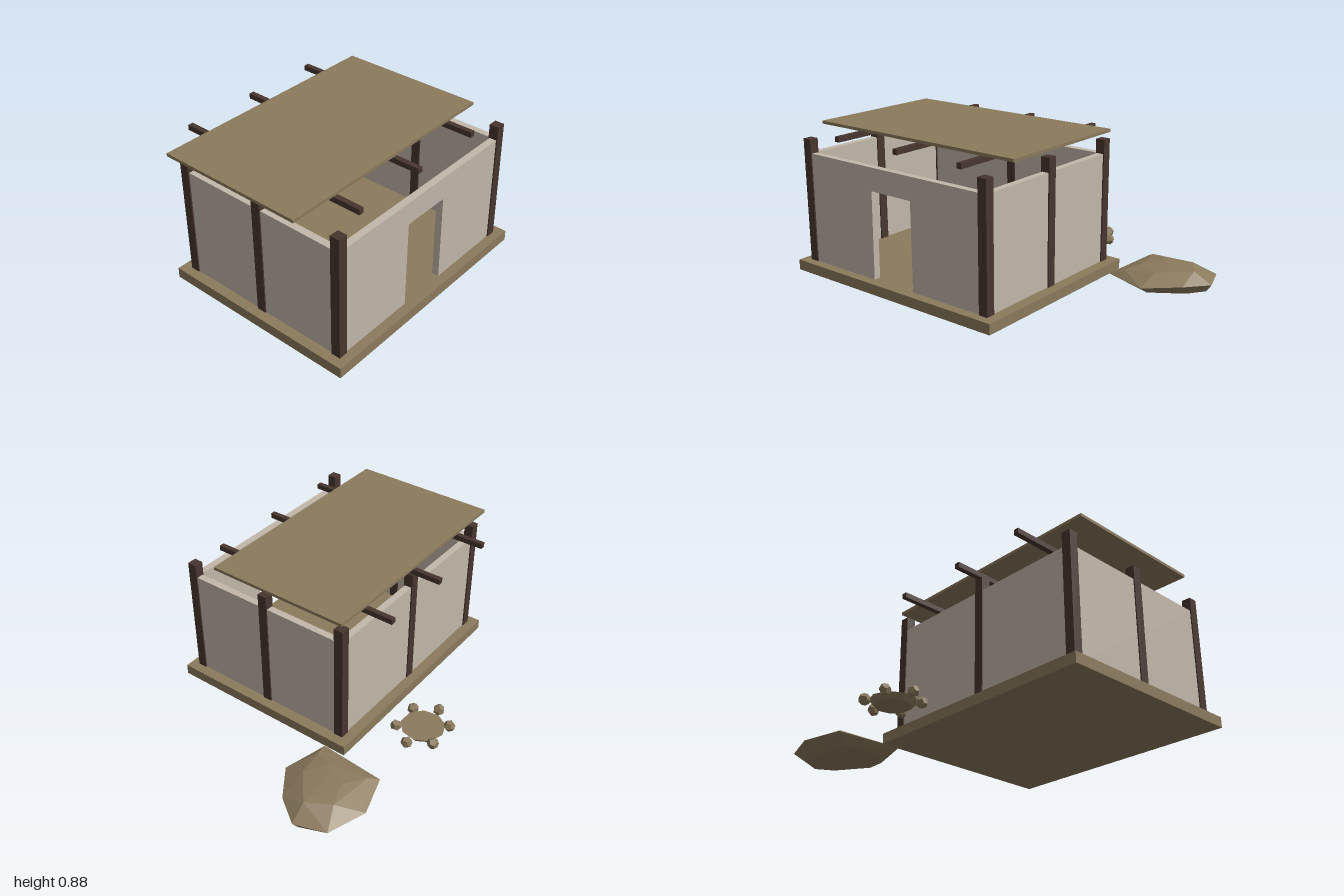
import * as THREE from 'three';
import { ConvexGeometry } from 'three/addons/geometries/ConvexGeometry.js';

const earth = new THREE.MeshStandardMaterial({ color: 0x8b7a5c });
earth.name = 'earth';
earth.flatShading = true;
const plaster = new THREE.MeshStandardMaterial({ color: 0xc2b8aa });
plaster.name = 'plaster';
const timber = new THREE.MeshStandardMaterial({ color: 0x48362f });
timber.name = 'timber';

export function createModel() {
  const model = new THREE.Group();
  model.name = 'hut';

  const add = (name, geometry, material, x = 0, y = 0, z = 0) => {
    const mesh = new THREE.Mesh(geometry, material);
    mesh.name = name;
    mesh.position.set(x, y, z);
    model.add(mesh);
    return mesh;
  };
  // Box given by its lower and upper limits
  const box = (name, material, x0, x1, y0, y1, z0, z1) =>
    add(name, new THREE.BoxGeometry(x1 - x0, y1 - y0, z1 - z0), material,
      (x0 + x1) / 2, (y0 + y1) / 2, (z0 + z1) / 2);

  // Raised floor and roof
  const floorY = 0.115, wallTop = 0.745;
  box('platform', earth, -0.975, 0.45, 0.055, floorY, -0.385, 0.77);
  box('roof', earth, -1, 0.4, 0.863, 0.88, -0.33, 0.52);

  // Posts: four corners, the middles of both sides and the back
  const posts = [
    [-0.897, 0.695], [0.368, 0.695], [-0.897, 0.195], [0.368, 0.195],
    [-0.897, -0.305], [0.368, -0.305], [-0.265, -0.305],
  ];
  for (const [x, z] of posts) {
    box('post', timber, x - 0.027, x + 0.027, floorY, 0.825, z - 0.027, z + 0.027);
  }

  // Roof beams
  for (const x of [-0.708, -0.265, 0.178]) {
    box('beam', timber, x - 0.015, x + 0.015, 0.825, 0.855, -0.49, 0.67);
  }

  // Front wall with a door opening
  const front = new THREE.Shape([
    [-0.87, floorY], [-0.41, floorY], [-0.403, 0.615], [-0.12, 0.615],
    [-0.12, floorY], [0.341, floorY], [0.341, wallTop], [-0.87, wallTop],
  ].map(([x, y]) => new THREE.Vector2(x, y)));
  add('frontWall', new THREE.ExtrudeGeometry(front, { depth: 0.04, bevelEnabled: false }),
    plaster, 0, 0, 0.675);

  // Closed walls
  box('backWall', plaster, -0.87, 0.341, floorY, wallTop, -0.325, -0.285);
  for (const x of [-0.897, 0.368]) {
    box('sideWall', plaster, x - 0.02, x + 0.02, floorY, wallTop, -0.278, 0.668);
  }

  // Low faceted boulder: bottom, rim and top points
  const boulder = [
    [0.53, 0.02, -0.32], [0.7, 0.005, -0.28], [0.88, 0.005, -0.4],
    [0.96, 0.015, -0.48], [0.86, 0.005, -0.6], [0.7, 0, -0.62], [0.54, 0.018, -0.58],
    [0.715, 0.06, -0.72], [0.935, 0.06, -0.645], [0.995, 0.062, -0.47],
    [0.895, 0.07, -0.325], [0.71, 0.058, -0.195], [0.46, 0.065, -0.265], [0.49, 0.07, -0.65],
    [0.55, 0.1, -0.29], [0.72, 0.115, -0.32], [0.89, 0.122, -0.46], [0.6, 0.12, -0.4],
    [0.72, 0.125, -0.46], [0.68, 0.123, -0.54], [0.81, 0.118, -0.59], [0.54, 0.1, -0.61],
  ].map((p) => new THREE.Vector3(...p));
  add('boulder', new ConvexGeometry(boulder), earth);

  // Fire pit: a flat stone tapered below, ringed by six small stones
  const pit = add('firePit', new THREE.CylinderGeometry(0.125, 0.1, 0.03, 9), earth, 0.053, 0.1, -0.63);
  pit.rotation.y = Math.PI;
  const ring = [[-0.163, 0], [0.163, 0], [-0.085, -0.117], [0.085, -0.117], [-0.085, 0.12], [0.085, 0.12]];
  ring.forEach(([dx, dz], i) => {
    const stone = add('fireStone', new THREE.DodecahedronGeometry(0.033), earth,
      0.052 + dx, 0.115, -0.63 + dz);
    stone.rotation.set(i * 0.7, i * 1.3, 0.2);
  });

  return model;
}
